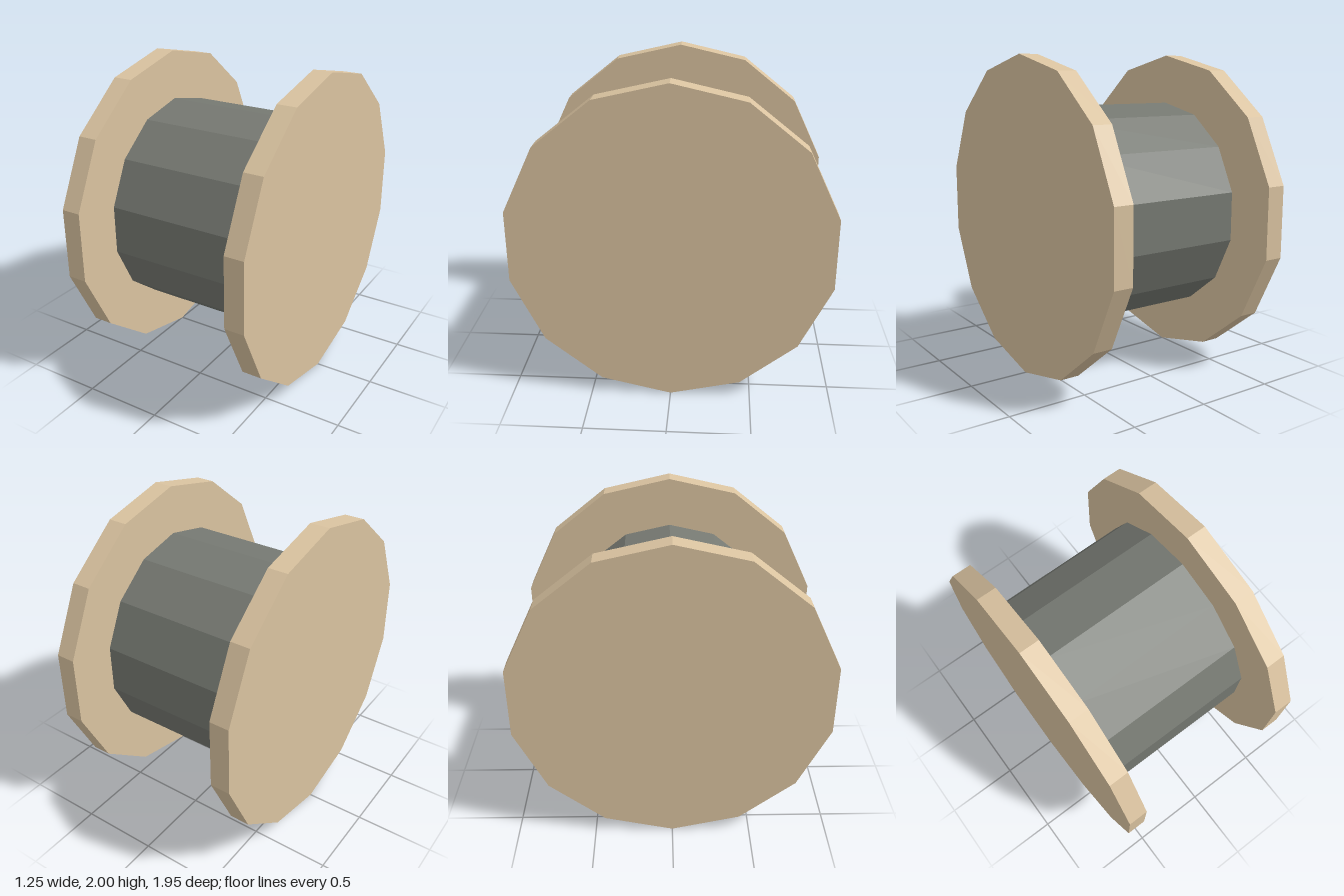
import * as THREE from 'three';

const SIDES = 14;

// Faceted drum lying along x, with a corner pointing straight up
function drum(name, radius, length, x, color) {
  const geometry = new THREE.CylinderGeometry(radius, radius, length, SIDES, 1, false, Math.PI / 2);
  geometry.rotateZ(Math.PI / 2);
  const mesh = new THREE.Mesh(geometry, new THREE.MeshStandardMaterial({ color, flatShading: true }));
  mesh.name = name;
  mesh.position.set(x, 1, 0);
  return mesh;
}

export function createModel() {
  const model = new THREE.Group();
  model.name = 'cableSpool';

  // Wound cable between the flanges
  model.add(drum('woundCable', 0.685, 1.0, 0, 0x767972));

  // Wooden end flanges
  for (const side of [1, -1]) {
    model.add(drum(side > 0 ? 'leftFlange' : 'rightFlange', 1, 0.124, side * 0.561, 0xdac3a0));
  }
  return model;
}
